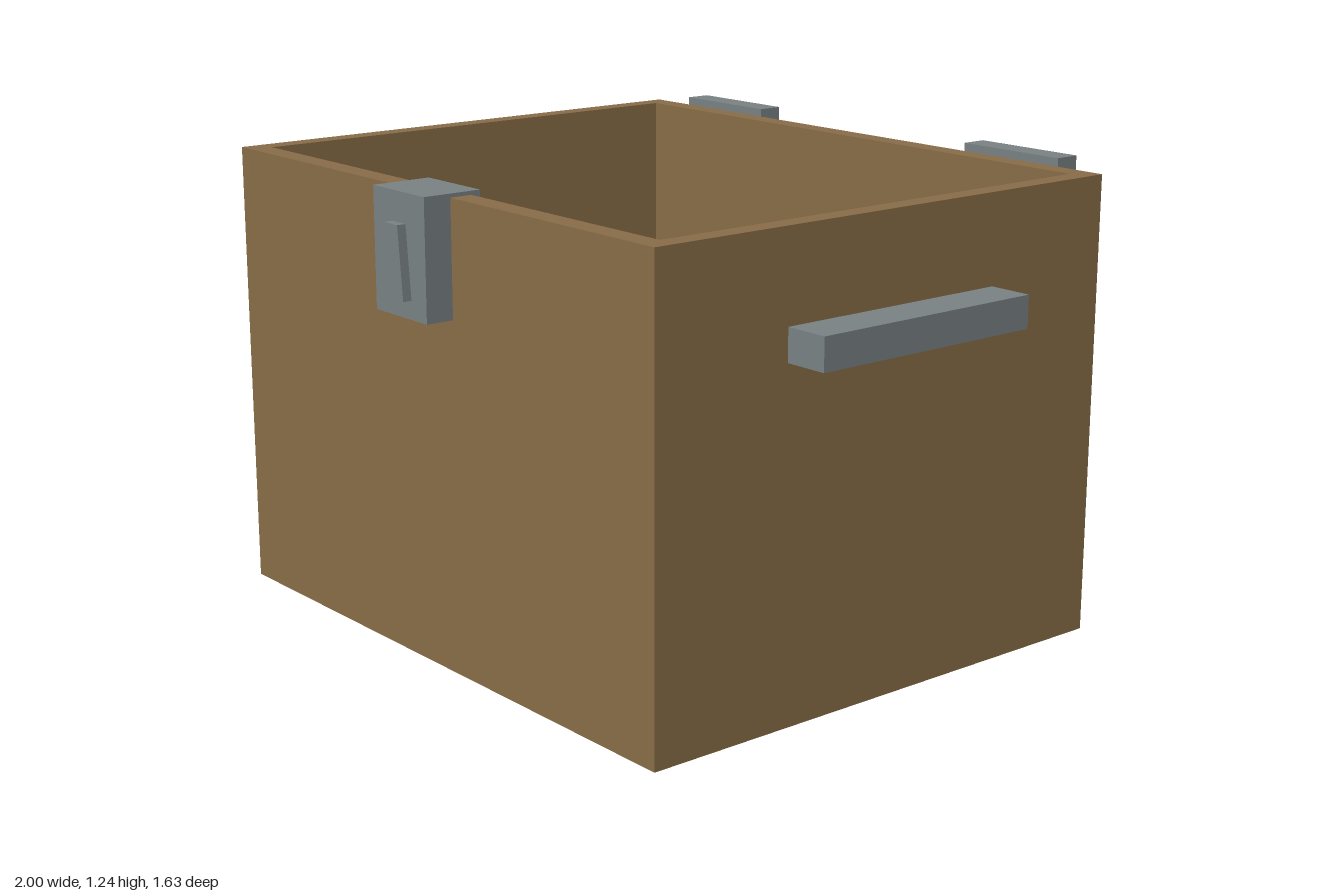
import * as THREE from 'three';

const wood = new THREE.MeshStandardMaterial({ color: 0x886c47 });
wood.name = 'brown wood';
const metal = new THREE.MeshStandardMaterial({ color: 0x788183 });
metal.name = 'grey metal';

// Rectangular loop at height y, counter-clockwise seen from above
const loop = (x, zBack, zFront, y) => [
  [-x, y, zFront], [x, y, zFront], [x, y, zBack], [-x, y, zBack],
];

// Open box as one skin: underside, outer walls, rim, inner walls, floor
function boxBody() {
  const loops = [
    loop(0.88, -0.746, 0.717, 0),
    loop(0.88, -0.746, 0.717, 1.22),
    loop(0.825, -0.688, 0.656, 1.22),
    loop(0.825, -0.688, 0.656, 0.765),
  ];
  const points = [];
  const quad = (a, b, c, d) => points.push(...a, ...b, ...c, ...a, ...c, ...d);
  for (let i = 0; i < 3; i++) {
    for (let k = 0; k < 4; k++) {
      const n = (k + 1) % 4;
      quad(loops[i][k], loops[i][n], loops[i + 1][n], loops[i + 1][k]);
    }
  }
  quad(...loops[3]);
  quad(...[...loops[0]].reverse());
  const geometry = new THREE.BufferGeometry();
  geometry.setAttribute('position', new THREE.Float32BufferAttribute(points, 3));
  geometry.computeVertexNormals();
  return geometry;
}

// Block between two opposite corners
function block(name, [x0, y0, z0], [x1, y1, z1]) {
  const mesh = new THREE.Mesh(new THREE.BoxGeometry(x1 - x0, y1 - y0, z1 - z0), metal);
  mesh.position.set((x0 + x1) / 2, (y0 + y1) / 2, (z0 + z1) / 2);
  mesh.name = name;
  return mesh;
}

export function createModel() {
  const model = new THREE.Group();
  model.name = 'openChest';

  const body = new THREE.Mesh(boxBody(), wood);
  body.name = 'chestBody';
  model.add(body);

  // Side handles
  model.add(
    block('leftHandle', [0.88, 0.9, -0.353], [1, 0.985, 0.323]),
    block('rightHandle', [-1, 0.9, -0.353], [-0.88, 0.985, 0.323]),
  );

  // Hinges on the back edge
  model.add(
    block('leftHinge', [0.405, 1.178, -0.817], [0.733, 1.242, -0.746]),
    block('rightHinge', [-0.738, 1.178, -0.817], [-0.41, 1.242, -0.746]),
  );

  // Lock straddling the front wall
  model.add(block('lock', [-0.11, 0.919, 0.63], [0.11, 1.23, 0.793]));

  // Tapered tab on the lock face
  const outline = new THREE.Shape([
    [-0.046, 0.967], [0.046, 0.967], [0.028, 1.153], [-0.028, 1.153],
  ].map(([x, y]) => new THREE.Vector2(x, y)));
  const tab = new THREE.Mesh(
    new THREE.ExtrudeGeometry(outline, { depth: 0.024, bevelEnabled: false }), metal);
  tab.position.z = 0.793;
  tab.name = 'lockTab';
  model.add(tab);

  return model;
}
